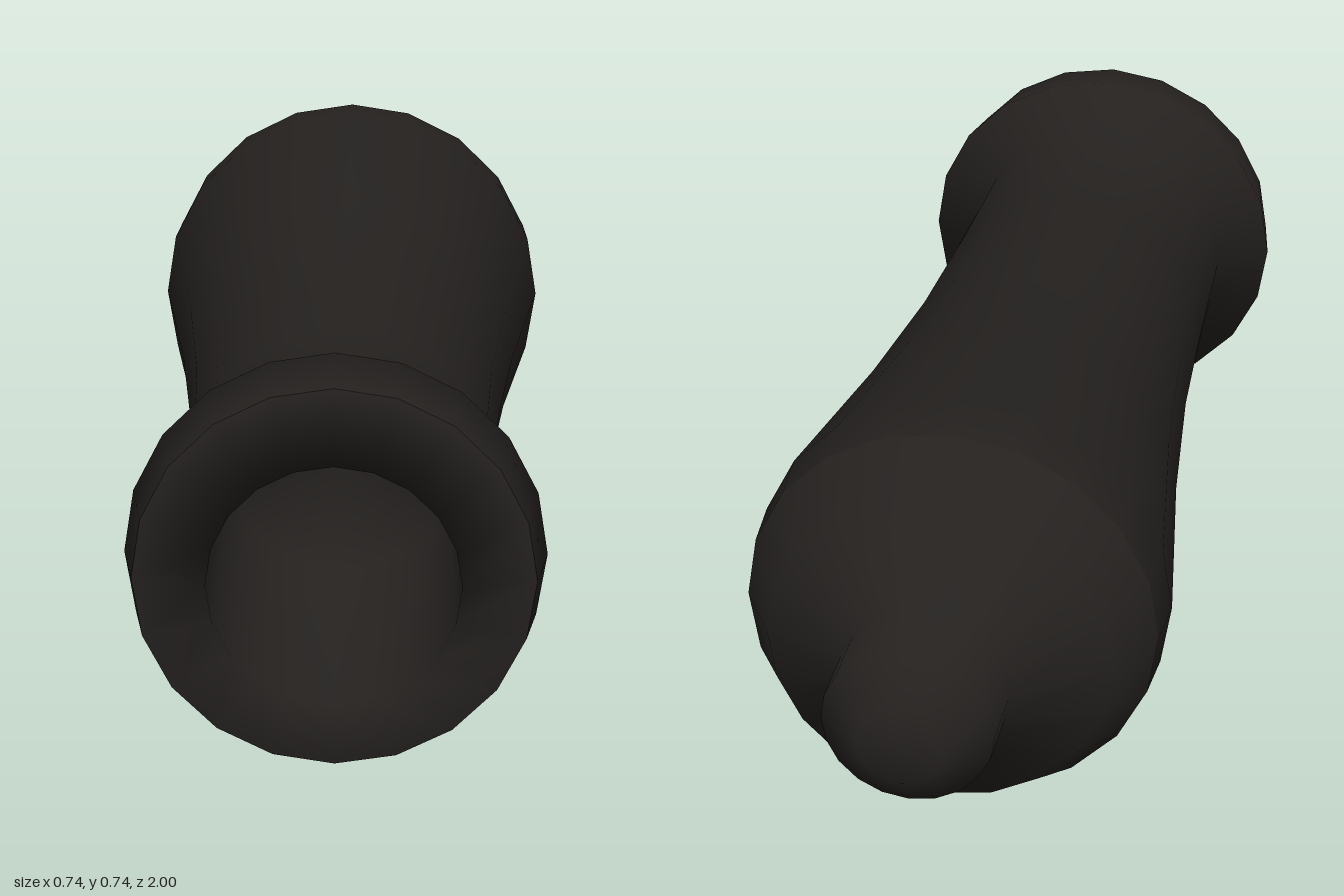
import * as THREE from 'three';

const SIDES = 20;
const AXIS_HEIGHT = 0.373;

// Each profile lists [radius, z] from the back towards the muzzle, then into the bore.
const PROFILES = {
  breech: [[0, -1], [0.075, -1], [0.148, -0.943], [0.148, -0.825], [0.302, -0.715], [0.365, -0.605]],
  barrel: [
    [0.365, -0.605], [0.372, -0.505], [0.315, -0.11], [0.283, 0.2], [0.267, 0.5],
    [0.257, 0.78], [0.35, 0.855], [0.33, 0.97],
  ],
  muzzleAndBore: [[0.33, 0.97], [0.208, 1], [0.204, 0.45], [0, 0.45]],
};

export function createModel() {
  const model = new THREE.Group();
  model.name = 'cannonBarrel';
  const material = new THREE.MeshStandardMaterial({ color: 0x24211f });

  // Separate turned sections keep the creases between them sharp.
  for (const [name, profile] of Object.entries(PROFILES)) {
    const points = profile.map(([radius, z]) => new THREE.Vector2(radius, z));
    const geometry = new THREE.LatheGeometry(points, SIDES);
    geometry.rotateX(Math.PI / 2);
    geometry.translate(0, AXIS_HEIGHT, 0);
    const mesh = new THREE.Mesh(geometry, material);
    mesh.name = name;
    model.add(mesh);
  }
  return model;
}
